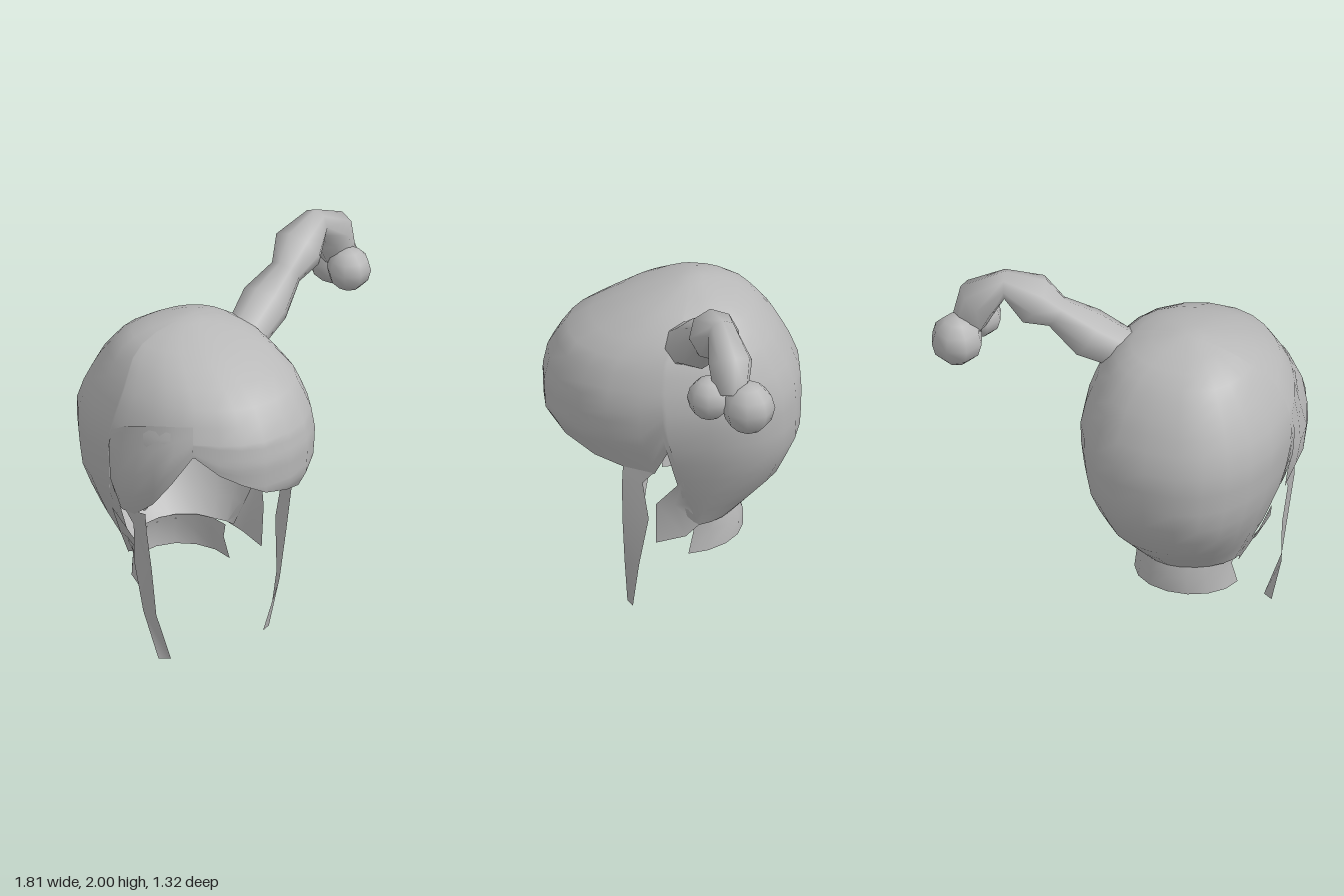
import * as THREE from 'three';
import { mergeVertices } from 'three/addons/utils/BufferGeometryUtils.js';

const hairGrey = new THREE.MeshStandardMaterial({ color: 0xb8b8b8, side: THREE.DoubleSide });
hairGrey.name = 'hairGrey';

const CX = -0.37; // middle of the hair shell
const TOP = 1.74, MID = 1.34; // crown height, height above which rows are level
const rad = THREE.MathUtils.degToRad;

// Shell cross-sections: height, xMin, xMax, zBack, zFront
const SECTIONS = [
  [0.40, -0.65, -0.07, -0.31, 0.10],
  [0.46, -0.66, -0.06, -0.34, 0.13],
  [0.66, -0.76, 0.03, -0.54, 0.40],
  [0.90, -0.85, 0.12, -0.65, 0.56],
  [1.06, -0.885, 0.165, -0.66, 0.655],
  [1.22, -0.90, 0.178, -0.655, 0.66],
  [1.36, -0.87, 0.155, -0.60, 0.63],
  [1.50, -0.80, 0.10, -0.525, 0.53],
  [1.62, -0.71, 0.01, -0.42, 0.31],
  [1.69, -0.61, -0.10, -0.31, 0.14],
  [1.73, -0.47, -0.25, -0.18, 0.0],
  [1.74, -0.36, -0.36, -0.09, -0.09],
];

// Lower edge of the shell: angle from +x towards +z, height
const HEM = [
  [-180, 0.46], [0, 0.46], [1, 0.99], [9, 0.84], [24, 0.87], [40, 0.91], [60, 0.97], [76, 1.015],
  [90, 1.06], [106, 1.12], [118, 1.18], [130, 1.27], [137, 1.25], [145, 1.05], [154, 0.87],
  [168, 0.84], [178, 0.99], [180, 0.46],
];

// Linear lookup in a table sorted by its first column
function lookup(table, t) {
  let i = 1;
  while (i < table.length - 1 && table[i][0] < t) i++;
  const a = table[i - 1], b = table[i];
  const k = THREE.MathUtils.clamp((t - a[0]) / (b[0] - a[0]), 0, 1);
  return a.map((v, j) => v + (b[j] - v) * k);
}

// Point on the shell at an angle and height; rounder at the nape and the swept -x front
function shellPoint(deg, y, offset = 0) {
  const [, x0, x1, z0, z1] = lookup(SECTIONS, y);
  const c = Math.cos(rad(deg)), s = Math.sin(rad(deg));
  const power = c < 0 && s > 0 ? 1.15 : THREE.MathUtils.lerp(1.15, 0.84, THREE.MathUtils.smoothstep(y, 0.42, 0.8));
  const soft = (v) => Math.sign(v) * Math.pow(Math.abs(v), power);
  return [
    (x0 + x1) / 2 + ((x1 - x0) / 2 + offset) * soft(c), y,
    (z0 + z1) / 2 + ((z1 - z0) / 2 + offset) * soft(s),
  ];
}

// Smooth surface through rows of points
function surface(name, rows) {
  const n = rows[0].length, index = [];
  for (let r = 0; r < rows.length - 1; r++) {
    for (let i = 0; i < n - 1; i++) {
      const a = r * n + i, b = a + n;
      index.push(a, b, a + 1, a + 1, b, b + 1);
    }
  }
  let g = new THREE.BufferGeometry();
  g.setAttribute('position', new THREE.Float32BufferAttribute(rows.flat(2), 3));
  g.setIndex(index);
  g = mergeVertices(g, 1e-4);
  g.computeVertexNormals();
  const mesh = new THREE.Mesh(g, hairGrey);
  mesh.name = name;
  return mesh;
}

// Main shell: rows rise from the hem to MID, then run level to the crown
function hairShell() {
  const angles = HEM.map((h) => h[0]);
  for (let a = -165; a < 0; a += 15) angles.push(a);
  angles.sort((a, b) => a - b);
  const rows = [], N = 8;
  for (let r = 0; r < N; r++) {
    rows.push(angles.map((a) => {
      const low = lookup(HEM, a)[1];
      return shellPoint(a, low + (MID - low) * (r / N));
    }));
  }
  for (let r = 0; r <= N; r++) {
    const y = MID + (TOP - MID) * Math.sin((r / N) * Math.PI / 2);
    rows.push(angles.map((a) => shellPoint(a, y)));
  }
  return surface('hairShell', rows);
}

// Swept panel lying over the shell on the -x side: angle, bottom, top, lift
function sideSweep() {
  const cols = [[131, 1.27, 1.42, 0.004], [140, 1.12, 1.41, 0.04], [148, 0.96, 1.40, 0.05],
    [158, 0.85, 1.38, 0.05], [168, 0.84, 1.35, 0.03], [177, 1.0, 1.3, 0.004]];
  const rows = [];
  for (let r = 0; r <= 4; r++) {
    const t = r / 4;
    rows.push(cols.map(([a, y0, y1, lift]) =>
      shellPoint(a, y0 + (y1 - y0) * t, 0.004 + lift * Math.sin(Math.PI * Math.min(t + 0.25, 1)))));
  }
  return surface('sideSweep', rows);
}

// Tail with bulges: rings around a path of x, y, z, radius
function ponytail() {
  const path = [
    [-0.13, 1.42, -0.09, 0.27], [-0.04, 1.495, -0.1, 0.185], [0.035, 1.565, -0.1, 0.115],
    [0.165, 1.645, -0.155, 0.132], [0.32, 1.76, -0.2, 0.086], [0.425, 1.84, -0.25, 0.135],
    [0.565, 1.925, -0.3, 0.078], [0.69, 1.83, -0.345, 0.115], [0.74, 1.68, -0.35, 0.09],
  ];
  const pts = path.map((p) => new THREE.Vector3(p[0], p[1], p[2]));
  const sides = 8;
  const rows = path.map((p, i) => {
    const dir = pts[Math.min(i + 1, pts.length - 1)].clone().sub(pts[Math.max(i - 1, 0)]).normalize();
    const side = new THREE.Vector3(0.35, 0, 1).cross(dir).normalize();
    const across = dir.clone().cross(side);
    return Array.from({ length: sides + 1 }, (_, k) => {
      const a = ((k % sides) / sides) * Math.PI * 2;
      return pts[i].clone().addScaledVector(side, Math.cos(a) * p[3])
        .addScaledVector(across, Math.sin(a) * p[3]).toArray();
    });
  });
  return surface('ponytail', rows);
}

function bauble(name, r, x, y, z) {
  const mesh = new THREE.Mesh(new THREE.SphereGeometry(r, 8, 6), hairGrey);
  mesh.name = name;
  mesh.position.set(x, y, z);
  return mesh;
}

// Short curved strip at the nape: height at ends, height at back, half width, end z, back z
function nape() {
  const rows = [[0.28, 0.31, 0.275, -0.095, -0.36], [0.4, 0.4, 0.255, -0.12, -0.36],
    [0.47, 0.49, 0.26, -0.11, -0.33]].map(([ye, yb, w, ze, zb]) =>
    Array.from({ length: 9 }, (_, i) => {
      const a = Math.PI * (1 - i / 8), s = Math.sin(a);
      return [CX + 0.005 + w * Math.cos(a), ye + (yb - ye) * s, ze + (zb - ze) * s];
    }));
  return surface('nape', rows);
}

// Long front strand and short lock, given for +x and mirrored about the shell
const mirror = (rows) => rows.map((r) => r.map(([x, y, z]) => [2 * CX - x, y, z]).reverse());

const STRAND = [
  [[-0.09, 0, 0.215], [-0.035, 0, 0.185]],
  [[0.005, 0.28, 0.225], [0.035, 0.28, 0.15]],
  [[0.04, 0.56, 0.235], [0.06, 0.56, 0.1]],
  [[0.07, 0.78, 0.235], [0.08, 0.78, 0.13]],
  [[0.075, 0.88, 0.23], [0.095, 0.85, 0.07]],
];
const lock = (x, low) => [
  [[x, low, 0.065], [x - 0.02, low + 0.03, -0.085], [-0.07, 0.46, -0.15]],
  [[0.012, 0.62, 0.065], [0.016, 0.62, -0.03], [0.012, 0.62, -0.1]],
  [[0.075, 0.78, -0.06], [0.077, 0.785, -0.068], [0.078, 0.79, -0.076]],
];

export function createModel() {
  const model = new THREE.Group();
  model.name = 'hair';
  model.add(
    hairShell(), sideSweep(), ponytail(), nape(),
    bauble('frontBauble', 0.115, 0.73, 1.645, -0.24),
    bauble('backBauble', 0.137, 0.768, 1.615, -0.44),
    surface('leftStrand', STRAND), surface('rightStrand', mirror(STRAND)),
    surface('leftLock', lock(0.0, 0.39)), surface('rightLock', mirror(lock(-0.07, 0.46))),
  );
  return model;
}
